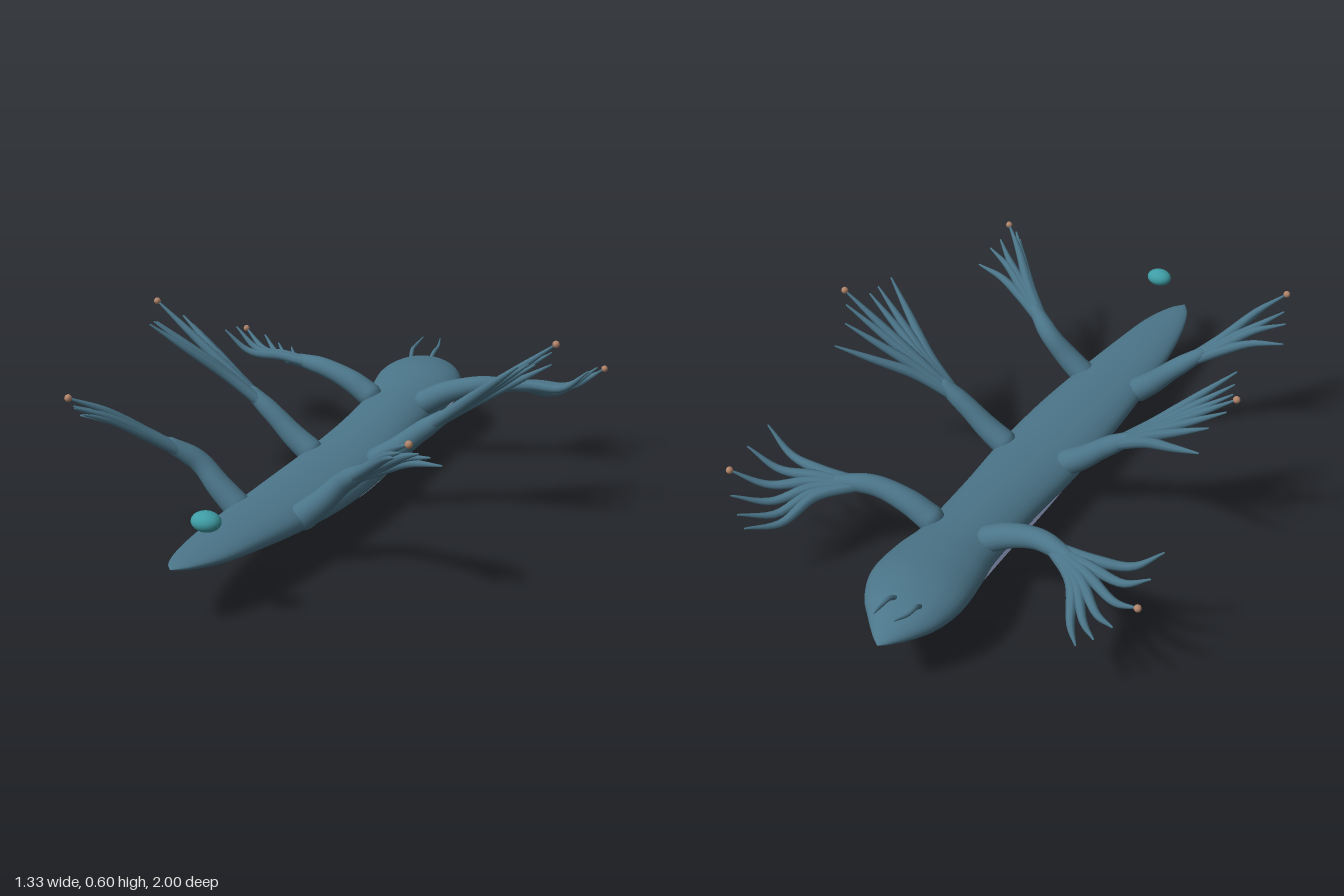
import * as THREE from 'three';

const V = (x, y, z) => new THREE.Vector3(x, y, z);
const skin = new THREE.MeshStandardMaterial({ color: 0x4b7589 });
const footSkin = new THREE.MeshStandardMaterial({ color: 0x667089, side: THREE.DoubleSide });
const teal = new THREE.MeshStandardMaterial({ color: 0x3f9da5 });
const amber = new THREE.MeshStandardMaterial({ color: 0xb0846a });

// Skin a list of rings (equal point counts); closed rings share their seam.
function loft(rings, closed = true) {
  const n = rings[0].length, pos = [], idx = [];
  rings.forEach(r => r.forEach(p => pos.push(p.x, p.y, p.z)));
  for (let i = 0; i < rings.length - 1; i++)
    for (let j = 0; j < (closed ? n : n - 1); j++) {
      const a = i * n + j, b = i * n + (j + 1) % n;
      idx.push(a, b, a + n, b, b + n, a + n);
    }
  const g = new THREE.BufferGeometry();
  g.setAttribute('position', new THREE.Float32BufferAttribute(pos, 3));
  g.setIndex(idx);
  g.computeVertexNormals();
  return g;
}

// Round tube along a smooth curve, radii spread evenly, with domed ends.
function taperTube(points, radii, steps = 20, sides = 12) {
  const curve = new THREE.CatmullRomCurve3(points);
  const f = curve.computeFrenetFrames(steps);
  const ring = (i, r, shift) => Array.from({ length: sides }, (_, j) => {
    const a = (j / sides) * Math.PI * 2;
    return curve.getPointAt(i / steps).addScaledVector(f.normals[i], r * Math.cos(a))
      .addScaledVector(f.binormals[i], r * Math.sin(a)).addScaledVector(f.tangents[i], shift);
  });
  const rings = [];
  const r0 = radii[0], r1 = radii[radii.length - 1];
  for (const t of [0, 0.3, 0.6, 0.85]) rings.push(ring(0, r0 * Math.sin(t * Math.PI / 2), -r0 * Math.cos(t * Math.PI / 2)));
  for (let i = 0; i <= steps; i++) {
    const t = (i / steps) * (radii.length - 1), k = Math.min(Math.floor(t), radii.length - 2);
    rings.push(ring(i, THREE.MathUtils.lerp(radii[k], radii[k + 1], t - k), 0));
  }
  for (const t of [0.5, 0]) rings.push(ring(steps, r1 * Math.sin(t * Math.PI / 2), r1 * Math.cos(t * Math.PI / 2)));
  return loft(rings);
}

// Smooth interpolation through rows whose first entry is z.
function sampleRows(rows, per) {
  const out = [], cr = (a, b, c, d, t) =>
    b + 0.5 * t * (c - a + t * (2 * a - 5 * b + 4 * c - d + t * (3 * (b - c) + d - a)));
  for (let i = 0; i < rows.length - 1; i++)
    for (let s = 0; s < per; s++) {
      const p = rows[Math.max(i - 1, 0)], q = rows[i], r = rows[i + 1], w = rows[Math.min(i + 2, rows.length - 1)];
      out.push(q.map((_, k) => cr(p[k], q[k], r[k], w[k], s / per)));
    }
  out.push(rows[rows.length - 1]);
  return out;
}

export function createModel() {
  const group = new THREE.Group();
  const add = (parent, name, geo, mat, p) => {
    const m = new THREE.Mesh(geo, mat);
    m.name = name;
    if (p) m.position.copy(p);
    parent.add(m);
    return m;
  };

  // Body: z, left edge, right edge, underside, back
  const body = sampleRows([
    [-1, -0.035, -0.035, 0.18, 0.18], [-0.975, -0.065, -0.005, 0.167, 0.196],
    [-0.92, -0.11, 0.045, 0.145, 0.222], [-0.85, -0.148, 0.1, 0.125, 0.243],
    [-0.75, -0.165, 0.137, 0.11, 0.25], [-0.62, -0.15, 0.137, 0.095, 0.238],
    [-0.5, -0.132, 0.122, 0.085, 0.224], [-0.25, -0.132, 0.127, 0.07, 0.205],
    [0, -0.147, 0.138, 0.06, 0.192], [0.25, -0.155, 0.125, 0.066, 0.19],
    [0.5, -0.155, 0.088, 0.085, 0.19], [0.7, -0.15, 0.048, 0.11, 0.19],
    [0.85, -0.135, 0.012, 0.135, 0.187], [0.95, -0.111, -0.035, 0.157, 0.183],
    [1, -0.08, -0.08, 0.175, 0.175]], 5);
  add(group, 'body', loft(body.map(([z, l, r, b, t]) => Array.from({ length: 36 }, (_, j) => {
    const a = (j / 36) * Math.PI * 2;
    return V((l + r) / 2 + (r - l) / 2 * Math.cos(a), (b + t) / 2 + (t - b) / 2 * Math.sin(a), z);
  }))), skin);

  // Foot: z, half width, top edge, keel
  const foot = sampleRows([
    [0.13, 0.11, 0.085, 0.066], [0.1, 0.115, 0.087, 0.046], [0, 0.122, 0.09, 0.02],
    [-0.15, 0.125, 0.097, 0.009], [-0.3, 0.125, 0.105, 0.013], [-0.45, 0.125, 0.115, 0.03],
    [-0.6, 0.127, 0.125, 0.057], [-0.72, 0.13, 0.134, 0.085], [-0.76, 0.13, 0.137, 0.105]], 4).reverse();
  const footRing = ([z, w, t, k]) => Array.from({ length: 21 }, (_, j) => {
    const u = j / 10 - 1;
    return V(w * u - 0.003, t - (t - k) * (1 - Math.abs(u) ** 1.6), z);
  });
  const footEnd = ([z, w, t]) => footRing([z, w, t, t]);
  add(group, 'foot', loft([footEnd(foot[0]), ...foot.map(footRing), footEnd(foot[foot.length - 1])], false), footSkin);

  // Limbs: stalk path, finger tips, the tip that carries a bead, mid-finger bow
  const limbs = [
    { name: 'tailLimb', cx: -0.035, bead: 2, bow: 0.012, out: 0.025,
      stalk: [[0.105, 0.15, 0.475], [0.16, 0.2, 0.472], [0.225, 0.268, 0.47], [0.3, 0.325, 0.51]],
      tips: [[0.55, 0.4, 0.575], [0.535, 0.44, 0.63], [0.505, 0.5, 0.71], [0.48, 0.475, 0.715], [0.46, 0.455, 0.705], [0.515, 0.46, 0.665]] },
    { name: 'middleLimb', cx: 0, bead: 2, bow: 0, out: 0,
      stalk: [[0.115, 0.16, -0.005], [0.17, 0.2, -0.008], [0.24, 0.262, -0.012], [0.32, 0.325, -0.018]],
      tips: [[0.605, 0.475, -0.18], [0.605, 0.52, -0.115], [0.655, 0.585, -0.035], [0.635, 0.55, -0.06],
        [0.615, 0.54, 0.045], [0.605, 0.55, 0.08], [0.59, 0.557, 0.135]] },
    { name: 'headLimb', cx: 0, bead: 3, bow: -0.04, out: 0.015,
      stalk: [[0.1, 0.2, -0.485], [0.17, 0.24, -0.49], [0.27, 0.272, -0.503], [0.38, 0.277, -0.54]],
      tips: [[0.53, 0.232, -0.805], [0.57, 0.25, -0.78], [0.61, 0.285, -0.75], [0.655, 0.322, -0.69],
        [0.65, 0.35, -0.6], [0.645, 0.365, -0.5]] },
  ];
  for (const L of limbs)
    for (const s of [1, -1]) {
      const limb = new THREE.Group();
      limb.name = (s > 0 ? 'left ' : 'right ') + L.name;
      group.add(limb);
      const at = ([x, y, z]) => V(L.cx + s * x, y, z);
      const stalk = L.stalk.map(at);
      add(limb, 'stalk', taperTube(stalk, [0.042, 0.038, 0.033, 0.03, 0.022], 24, 16), skin);
      L.tips.forEach((t, i) => {
        const tip = at(t);
        const spread = (i / (L.tips.length - 1) - 0.5);
        const start = stalk[2].clone().lerp(stalk[3], 0.35);
        const mid = stalk[3].clone().lerp(tip, 0.25);
        const far = stalk[3].clone().lerp(tip, 0.65);
        far.y += L.bow;
        mid.y += L.bow * 0.3;
        far.x += s * L.out * spread;
        add(limb, 'finger', taperTube([start, mid, far, tip], [0.019, 0.018, 0.016, 0.011, 0.003], 18, 8), skin);
        if (i === L.bead) add(limb, 'tip bead', new THREE.SphereGeometry(0.011, 12, 8), amber, tip);
      });
    }

  // Feelers on the head
  for (const s of [1, -1]) {
    const x = -0.05 + s * 0.035;
    add(group, 'feeler', taperTube([V(x, 0.225, -0.855), V(x + s * 0.006, 0.25, -0.885),
      V(x + s * 0.006, 0.258, -0.93), V(x - s * 0.003, 0.274, -0.98)], [0.008, 0.007, 0.005, 0.002], 14, 8), skin);
  }

  // Row of small spots along the underside
  for (const [x, y, z] of [[-0.063, 0.13, 0.8], [-0.043, 0.093, 0.565], [-0.018, 0.068, 0.285],
    [-0.003, 0.014, -0.035], [-0.003, 0.012, -0.275], [-0.003, 0.041, -0.515]])
    add(group, 'belly spot', new THREE.SphereGeometry(0.012, 12, 8), teal, V(x, y, z));

  // Bubble floating by the tail
  add(group, 'bubble', new THREE.SphereGeometry(1, 24, 16), teal, V(-0.003, 0.3, 0.937)).scale.set(0.042, 0.028, 0.034);

  return group;
}
